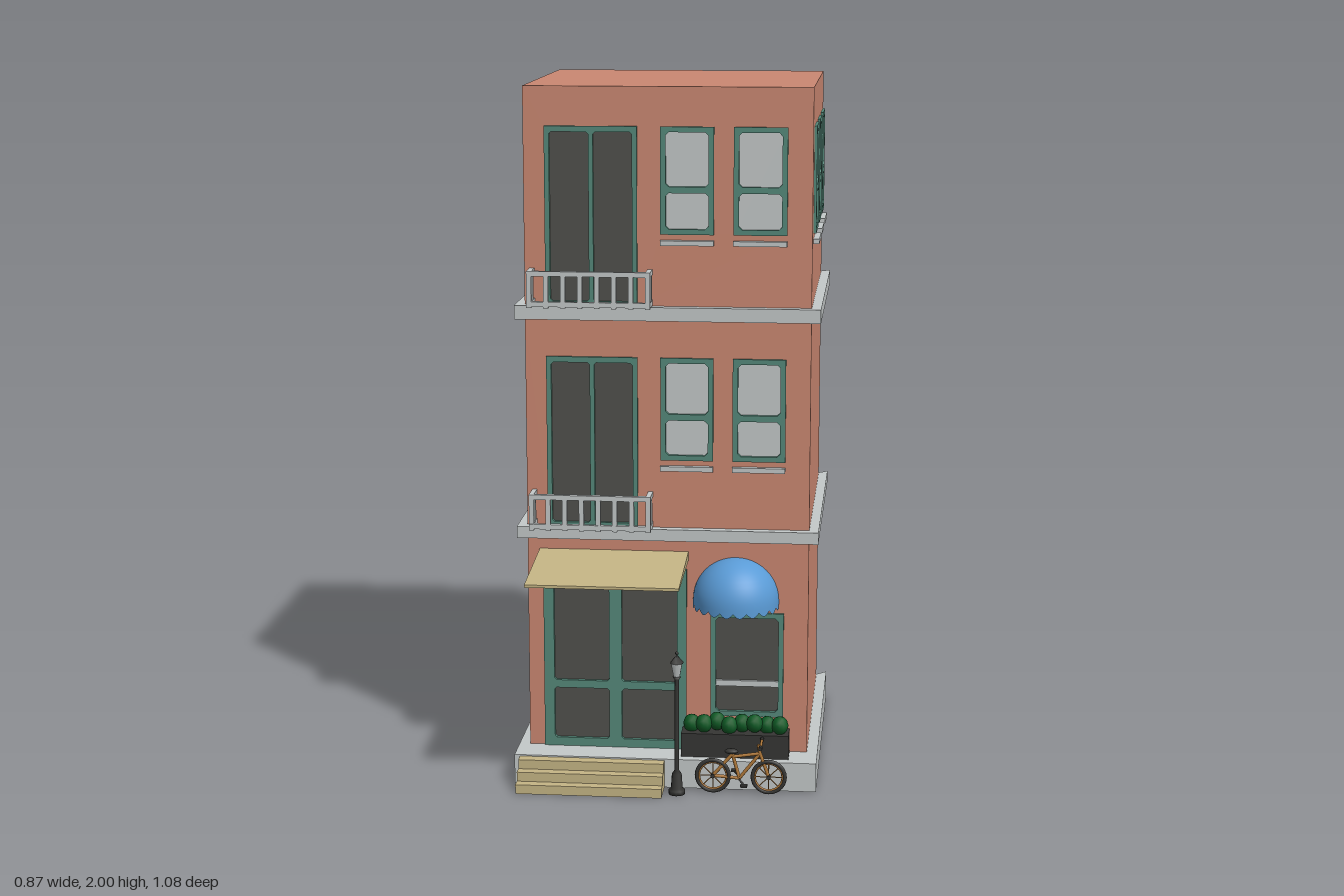
import * as THREE from 'three';

const mat = (name, color, side = THREE.FrontSide) => {
  const m = new THREE.MeshStandardMaterial({ color, side });
  m.name = name;
  return m;
};

export function createModel() {
  const D = THREE.DoubleSide;
  const brick = mat('brick', 0xcb8872, D), stone = mat('stone', 0xc4c9c9, D), teal = mat('tealPaint', 0x55897a);
  const darkGlass = mat('darkGlass', 0x50504c), tan = mat('tanWood', 0xc5b585), blue = mat('blueCanvas', 0x5a9bd6, D);
  const green = mat('leaves', 0x0f5a25), bronze = mat('bronze', 0xb0793a), iron = mat('iron', 0x363634);

  const model = new THREE.Group();
  model.name = 'townhouse';
  const group = (name, parent = model) => {
    const g = new THREE.Group();
    g.name = name;
    parent.add(g);
    return g;
  };
  const add = (name, geo, m, parent = model, x = 0, y = 0, z = 0) => {
    const mesh = new THREE.Mesh(geo, m);
    mesh.name = name;
    mesh.position.set(x, y, z);
    parent.add(mesh);
    return mesh;
  };
  // Box given by its limits on each axis
  const box = (name, m, x0, x1, y0, y1, z0, z1, parent = model) =>
    add(name, new THREE.BoxGeometry(x1 - x0, y1 - y0, z1 - z0), m, parent, (x0 + x1) / 2, (y0 + y1) / 2, (z0 + z1) / 2);
  // Round bar between two points
  const bar = (name, m, a, b, r, parent) => {
    const A = new THREE.Vector3(...a), B = new THREE.Vector3(...b);
    const mesh = add(name, new THREE.CylinderGeometry(r, r, A.distanceTo(B), 8), m, parent);
    mesh.position.copy(A).add(B).multiplyScalar(0.5);
    mesh.quaternion.setFromUnitVectors(new THREE.Vector3(0, 1, 0), B.sub(A).normalize());
  };
  // Rectangle outline with cut corners; rect = [x0, x1, y0, y1]
  const outline = ([x0, x1, y0, y1], c = 0) => (c
    ? [[x0 + c, y0], [x1 - c, y0], [x1, y0 + c], [x1, y1 - c], [x1 - c, y1], [x0 + c, y1], [x0, y1 - c], [x0, y0 + c]]
    : [[x0, y0], [x1, y0], [x1, y1], [x0, y1]]).map(p => new THREE.Vector2(...p));
  const pierced = (rect, holes, c = 0) => {
    const s = new THREE.Shape(outline(rect));
    holes.forEach(h => s.holes.push(new THREE.Path(outline(h, c))));
    return s;
  };
  // Painted frame with openings and a pane set into it
  const joinery = (name, rect, holes, pane, parent, c) => {
    const g = group(name, parent), [x0, x1, y0, y1] = rect;
    const geo = new THREE.ExtrudeGeometry(pierced(rect, holes, c), { depth: 0.022, bevelEnabled: false });
    add('frame', geo, teal, g, 0, 0, -0.014);
    box('pane', pane, x0 + 0.004, x1 - 0.004, y0 + 0.004, y1 - 0.004, -0.011, -0.003, g);
    return g;
  };

  // Walls: one sheet per storey, pierced for doors and windows
  const W = 0.405, F = 0.24, B = -0.505;
  const storeys = [[0, 0.715], [0.745, 1.35], [1.385, 2]];
  const winX = [-0.02, 0.185], winZ = [0.105, -0.135, -0.375];
  const groundDoor = [-0.36, 0.055, 0.085, 0.625], groundWindow = [0.125, 0.335, 0.19, 0.5];
  const balconyDoor = [[-0.345, -0.085, 0.745, 1.24], [-0.345, -0.085, 1.385, 1.89]];
  const windowY = [[0.945, 1.24], [1.59, 1.89]];
  const frontHoles = [[groundDoor, groundWindow]];
  for (let i = 0; i < 2; i++) frontHoles.push([balconyDoor[i], ...winX.map(x => [x, x + 0.15, ...windowY[i]])]);
  const sideHoles = winZ.map(z => [-z - 0.075, -z + 0.075, ...windowY[1]]);
  storeys.forEach(([y0, y1], i) => {
    // Openings are shrunk a hair so frames overlap the brick edge
    const shrink = ([a, b, c, d]) => [a + 0.003, b - 0.003, c + 0.003, d - 0.003];
    const front = pierced([-W, W, y0, y1], frontHoles[i].map(shrink));
    add('frontWall', new THREE.ShapeGeometry(front), brick, model, 0, 0, F);
    const side = pierced([-F, -B, y0, y1], i === 2 ? sideHoles.map(shrink) : []);
    add('leftWall', new THREE.ShapeGeometry(side), brick, model, W).rotation.y = Math.PI / 2;
    const plain = pierced([B, F, y0, y1], []);
    add('rightWall', new THREE.ShapeGeometry(plain), brick, model, -W).rotation.y = -Math.PI / 2;
  });
  add('roof', new THREE.PlaneGeometry(2 * W, F - B), brick, model, 0, 2, (F + B) / 2).rotation.x = -Math.PI / 2;

  // Plinth and storey bands: three-sided strips with mitred back ends
  const strip = (name, out, front, y0, y1) => {
    const o = W + out, e = W - 0.001, f = F - 0.001;
    const pts = [[-e, B], [-o, B - out], [-o, front], [o, front], [o, B - out], [e, B], [e, f], [-e, f]];
    const s = new THREE.Shape(pts.map(([x, z]) => new THREE.Vector2(x, -z)));
    add(name, new THREE.ExtrudeGeometry(s, { depth: y1 - y0, bevelEnabled: false }), stone, model, 0, y0).rotation.x = -Math.PI / 2;
  };
  strip('plinth', 0.031, 0.34, 0, 0.085);
  strip('lowerBand', 0.027, 0.267, 0.713, 0.747);
  strip('upperBand', 0.027, 0.267, 1.348, 1.387);

  // Sash windows with sills
  const sash = (x, [y0, y1], parent) => {
    const m = y0 + 0.125, k = 0.015;
    const holes = [[x + k, x + 0.15 - k, y0 + k, m - 0.009], [x + k, x + 0.15 - k, m + 0.009, y1 - k]];
    const g = joinery('sashWindow', [x, x + 0.15, y0, y1], holes, stone, parent, 0.009);
    box('sill', stone, x, x + 0.15, y0 - 0.03, y0 - 0.016, -0.002, 0.017, g);
  };
  const front = group('frontOpenings');
  front.position.z = F;
  windowY.forEach(y => winX.forEach(x => sash(x, y, front)));
  const side = group('sideWindows');
  side.position.x = W;
  side.rotation.y = Math.PI / 2;
  winZ.forEach(z => sash(-z - 0.075, windowY[1], side));

  // Doors and shop window
  balconyDoor.forEach(r => joinery('balconyDoor', r,
    [[r[0] + 0.014, -0.221, r[2] + 0.014, r[3] - 0.016], [-0.208, r[1] - 0.014, r[2] + 0.014, r[3] - 0.016]], darkGlass, front, 0.006));
  const leaves = [];
  [[-0.33, -0.17], [-0.133, 0.027]].forEach(x => leaves.push([...x, 0.285, 0.605], [...x, 0.11, 0.262]));
  joinery('entranceDoor', groundDoor, leaves, darkGlass, front, 0.006);
  joinery('groundWindow', groundWindow, [[0.14, 0.32, 0.205, 0.485]], darkGlass, front, 0.008);
  box('groundWindowRail', stone, 0.14, 0.32, 0.28, 0.297, -0.006, 0.006, front);

  // Balcony railings
  [0.747, 1.387].forEach(y => {
    const g = group('balcony'), x0 = -0.39, x1 = -0.042, z1 = 0.311, t = 0.014;
    for (const h of [0.004, 0.09]) {
      box('frontRail', stone, x0, x1, y + h, y + h + t, z1 - t, z1, g);
      for (const x of [x0, x1 - t]) box('sideRail', stone, x, x + t, y + h, y + h + t, F, z1 - t, g);
    }
    for (let i = 0; i < 8; i++) {
      const x = x0 + i * (x1 - x0 - t) / 7;
      box('baluster', stone, x, x + t, y, y + 0.1, z1 - t, z1 - 0.001, g);
    }
    for (const x of [x0, x1 - t]) box('sideBaluster', stone, x, x + t, y, y + 0.1, 0.262, 0.274, g);
  });

  // Flat wooden canopy and entrance steps
  const slope = new THREE.Shape([[-F, 0.652], [-0.54, 0.642], [-0.54, 0.65], [-F, 0.677]].map(p => new THREE.Vector2(...p)));
  add('canopy', new THREE.ExtrudeGeometry(slope, { depth: 0.43, bevelEnabled: false }), tan, model, -0.37).rotation.y = Math.PI / 2;
  for (let i = 0; i < 3; i++) box('step', tan, -0.42, 0, i * 0.027, (i + 1) * 0.027, 0.338, 0.433 - i * 0.03);

  // Domed awning with a scalloped hem
  const R = 0.123, profile = [new THREE.Vector2(R, -0.015)];
  for (let i = 0; i <= 12; i++) {
    const a = i / 12 * Math.PI / 2;
    profile.push(new THREE.Vector2(R * Math.cos(a), R * Math.sin(a)));
  }
  const dome = new THREE.LatheGeometry(profile, 80, -Math.PI / 2, Math.PI);
  const p = dome.attributes.position;
  for (let i = 0; i < p.count; i++) {
    if (p.getY(i) < -0.01) p.setY(i, -0.012 - 0.013 * Math.abs(Math.sin(10 * Math.atan2(p.getX(i), p.getZ(i)))));
  }
  add('domeAwning', dome, blue, model, 0.197, 0.54, F);

  // Planter with shrubs
  const planter = group('planter');
  box('planterBox', iron, 0.045, 0.355, 0.085, 0.155, F, 0.312, planter);
  for (let i = 0; i < 8; i++) {
    const shrub = add('shrub', new THREE.IcosahedronGeometry(0.025, 1), green, planter, 0.073 + i * 0.0365, 0.174 + (i % 3) * 0.004, 0.272 + (i % 2) * 0.012);
    shrub.scale.y = 1.1;
  }

  // Street lamp
  const lamp = group('streetLamp');
  lamp.position.set(0.04, 0, 0.387);
  const post = [[0, 0], [0.024, 0], [0.024, 0.012], [0.017, 0.018], [0.014, 0.06], [0.007, 0.07], [0.006, 0.34], [0.012, 0.348], [0, 0.35]];
  add('lampPost', new THREE.LatheGeometry(post.map(q => new THREE.Vector2(...q)), 12), iron, lamp);
  add('lantern', new THREE.CylinderGeometry(0.018, 0.01, 0.04, 6), stone, lamp, 0, 0.37);
  add('lanternCap', new THREE.ConeGeometry(0.021, 0.024, 6), iron, lamp, 0, 0.402);
  add('lanternTip', new THREE.SphereGeometry(0.005, 8, 6), iron, lamp, 0, 0.418);

  // Bicycle, with its front wheel toward +x
  const bike = group('bicycle');
  bike.position.z = 0.37;
  for (const x of [0.142, 0.302]) {
    add('tyre', new THREE.TorusGeometry(0.046, 0.006, 8, 28), iron, bike, x, 0.052);
    add('rim', new THREE.TorusGeometry(0.04, 0.0035, 6, 28), bronze, bike, x, 0.052);
    for (let i = 0; i < 4; i++) {
      const a = i * Math.PI / 4, c = 0.04 * Math.cos(a), s = 0.04 * Math.sin(a);
      bar('spoke', bronze, [x - c, 0.052 - s, 0], [x + c, 0.052 + s, 0], 0.0015, bike);
    }
    bar('hub', iron, [x, 0.052, -0.01], [x, 0.052, 0.01], 0.006, bike);
  }
  const rear = [0.142, 0.052, 0], crank = [0.218, 0.046, 0], saddle = [0.198, 0.118, 0], head = [0.277, 0.122, 0];
  [[rear, crank], [rear, saddle], [crank, saddle], [crank, head], [[0.2, 0.11, 0], head], [head, [0.302, 0.052, 0]], [head, [0.272, 0.148, 0]]]
    .forEach(([a, b]) => bar('frameTube', bronze, a, b, 0.005, bike));
  bar('handlebar', bronze, [0.28, 0.15, -0.043], [0.28, 0.15, 0.043], 0.004, bike);
  for (const s of [-1, 1]) {
    bar('grip', iron, [0.28, 0.15, s * 0.028], [0.28, 0.15, s * 0.046], 0.0055, bike);
    bar('crankArm', iron, crank.map((v, i) => (i === 2 ? s * 0.01 : v)), [0.218 + s * 0.014, 0.046 - s * 0.016, s * 0.012], 0.003, bike);
    box('pedal', iron, 0.208 + s * 0.014, 0.228 + s * 0.014, 0.043 - s * 0.016, 0.049 - s * 0.016, s * 0.019 - 0.008, s * 0.019 + 0.008, bike);
  }
  add('seat', new THREE.SphereGeometry(0.02, 12, 8), iron, bike, 0.195, 0.126).scale.set(1, 0.4, 0.6);

  return model;
}
